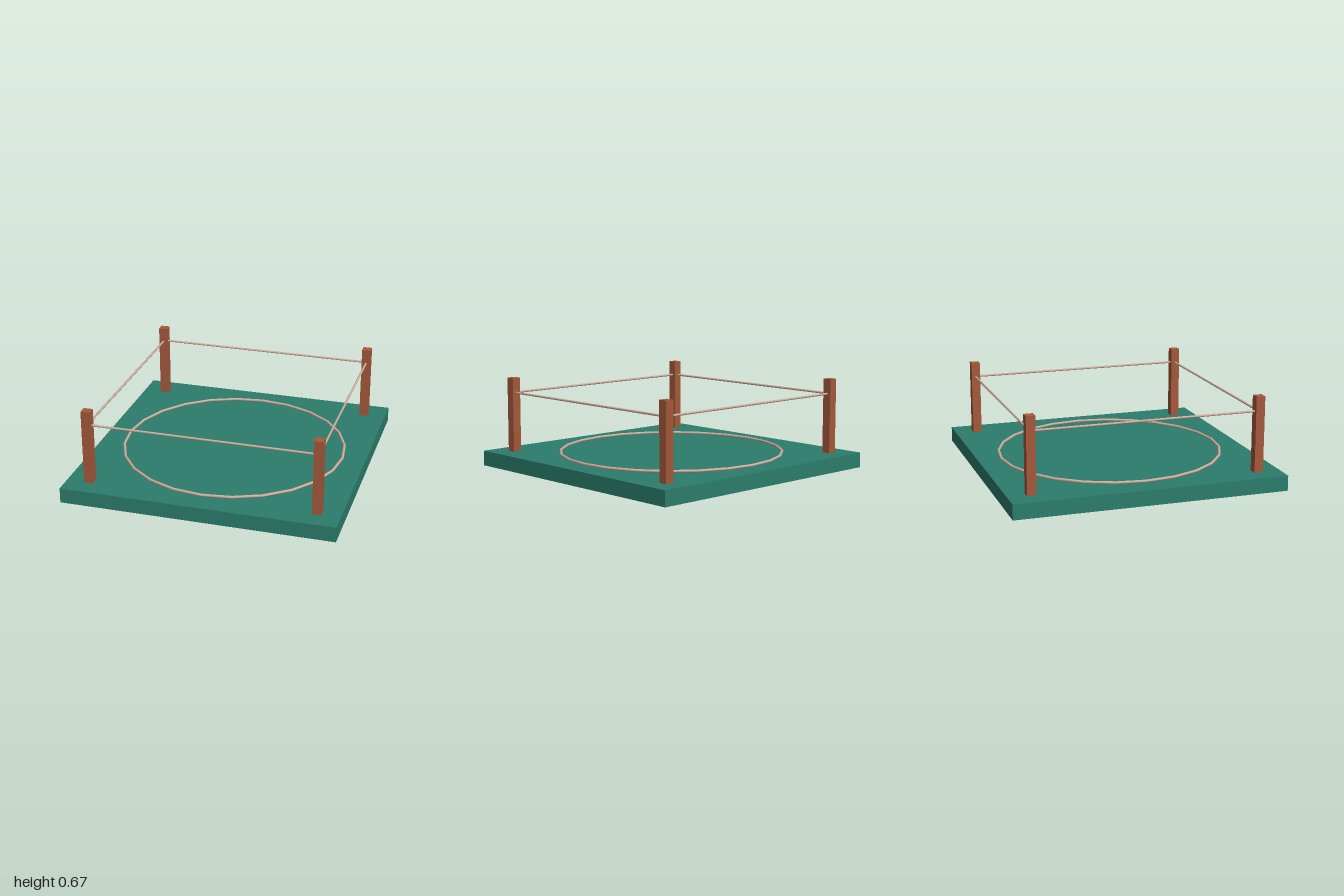
import * as THREE from 'three';

const BASE_H = 0.112; // platform thickness
const POST = 0.833; // post offset from the centre
const POST_H = 0.556;

export function createModel() {
  const group = new THREE.Group();
  const mat = (name, color) => {
    const m = new THREE.MeshStandardMaterial({ color });
    m.name = name;
    return m;
  };
  const green = mat('green mat', 0x2c7d6c);
  const wood = mat('red brown wood', 0xa4593c);
  const cord = mat('pale rope', 0xceae9e);

  const add = (name, geometry, material, x, y, z) => {
    const mesh = new THREE.Mesh(geometry, material);
    mesh.name = name;
    mesh.position.set(x, y, z);
    group.add(mesh);
    return mesh;
  };

  // Square platform
  add('platform', new THREE.BoxGeometry(2, BASE_H, 2), green, 0, BASE_H / 2, 0);

  // Corner posts
  const postGeo = new THREE.BoxGeometry(0.066, POST_H, 0.066);
  for (const x of [-1, 1])
    for (const z of [-1, 1])
      add('cornerPost', postGeo, wood, x * POST, BASE_H + POST_H / 2, z * POST);

  // One rope along each side, from post to post
  const ropeGeo = new THREE.CylinderGeometry(0.0083, 0.0083, POST * 2, 8);
  for (const s of [-1, 1]) {
    add('sideRope', ropeGeo, cord, s * POST, 0.557, 0).rotation.x = Math.PI / 2;
    add('crossRope', ropeGeo, cord, 0, 0.557, s * POST).rotation.z = Math.PI / 2;
  }

  // Rope circle lying on the platform
  const ringGeo = new THREE.TorusGeometry(0.831, 0.0105, 8, 24);
  add('ropeRing', ringGeo, cord, 0, 0.122, 0).rotation.x = -Math.PI / 2;

  return group;
}
